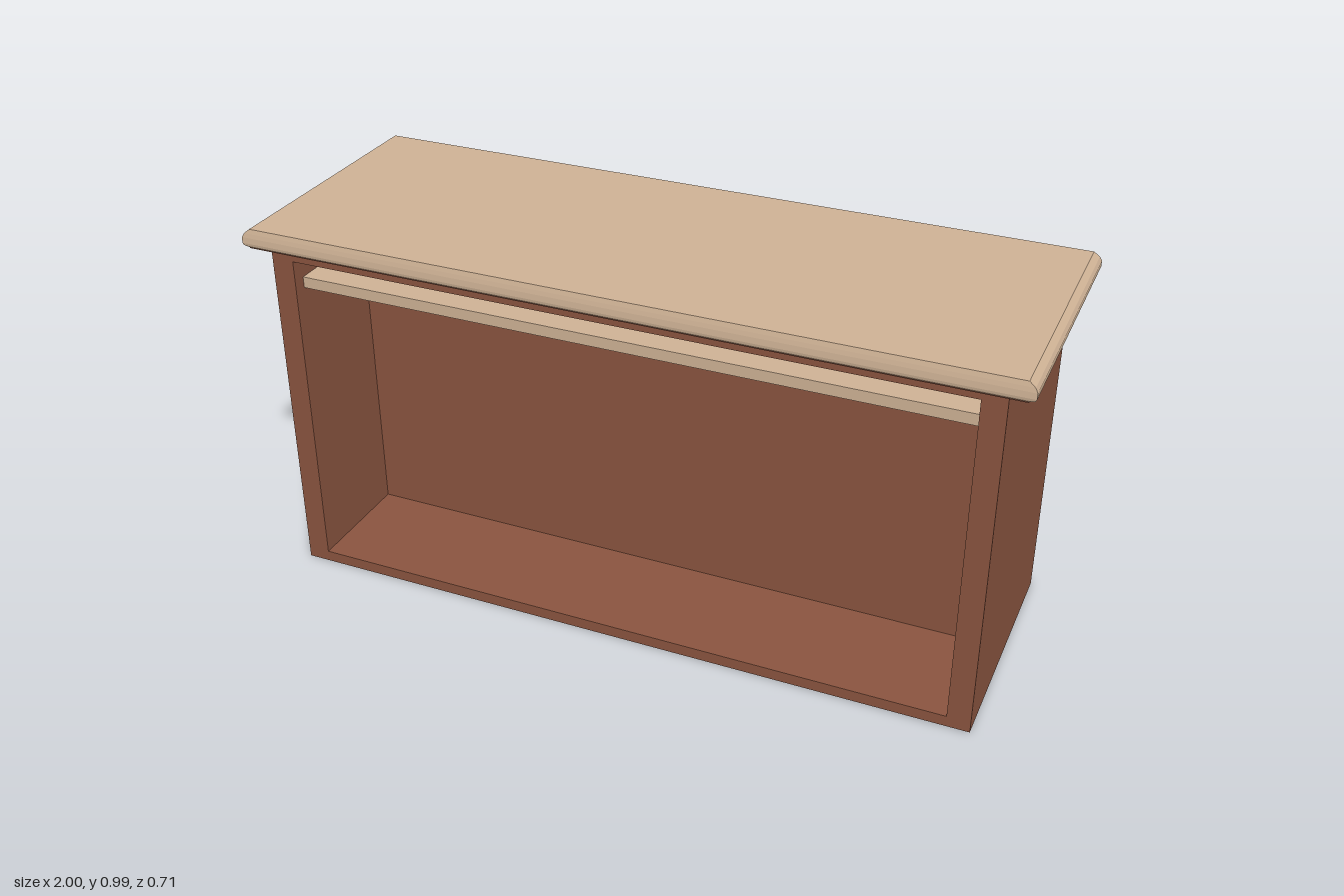
import * as THREE from 'three';

const wood = new THREE.MeshStandardMaterial({ color: 0x8b5540 });
const tan = new THREE.MeshStandardMaterial({ color: 0xd0b396, flatShading: true });

// Rectangular path or outline, wound counter-clockwise
function rect(target, x, y0, y1) {
  target.moveTo(-x, y0);
  target.lineTo(x, y0);
  target.lineTo(x, y1);
  target.lineTo(-x, y1);
  target.closePath();
  return target;
}

// Slab lofted through rectangular rings [y, halfWidth, halfDepth], capped at both ends
function slab(rings) {
  const pos = [], index = [];
  for (const [y, w, d] of rings) pos.push(-w, y, d, w, y, d, w, y, -d, -w, y, -d);
  for (let r = 0; r < rings.length - 1; r++) {
    for (let i = 0; i < 4; i++) {
      const a = r * 4 + i, b = r * 4 + (i + 1) % 4;
      index.push(a, b, b + 4, a, b + 4, a + 4);
    }
  }
  const t = (rings.length - 1) * 4;
  index.push(0, 2, 1, 0, 3, 2, t, t + 1, t + 2, t, t + 2, t + 3);
  const g = new THREE.BufferGeometry();
  g.setAttribute('position', new THREE.Float32BufferAttribute(pos, 3));
  g.setIndex(index);
  const flat = g.toNonIndexed();
  flat.computeVertexNormals();
  return flat;
}

export function createModel() {
  const group = new THREE.Group();
  const add = (name, geometry, material, x = 0, y = 0, z = 0) => {
    const mesh = new THREE.Mesh(geometry, material);
    mesh.name = name;
    mesh.position.set(x, y, z);
    group.add(mesh);
  };
  const box = (w, h, d) => new THREE.BoxGeometry(w, h, d);

  const front = 0.325, back = -0.335, recess = 0.01, height = 0.943;

  // Open front half: frame around the recess
  const frame = rect(new THREE.Shape(), 0.937, 0, height);
  frame.holes.push(rect(new THREE.Path(), 0.877, 0.03, 0.912));
  const frameGeometry = new THREE.ExtrudeGeometry(frame, { depth: front - recess, bevelEnabled: false });
  add('cabinetFrame', frameGeometry, wood, 0, 0, recess);

  // Closed rear half, whose front face is the back of the recess
  add('cabinetBack', box(1.874, height, recess - back), wood, 0, height / 2, (recess + back) / 2);

  // Shelf high in the recess, set slightly behind the frame
  add('shelf', box(1.754, 0.03, 0.28), tan, 0, 0.84, 0.15);

  // Countertop with rounded edges, and its dark underside
  add('countertop', slab([
    [0.944, 0.984, 0.35], [0.949, 0.997, 0.354], [0.955, 1, 0.355],
    [0.97, 1, 0.354], [0.981, 0.994, 0.352], [0.993, 0.979, 0.349],
  ]), tan);
  add('countertopUnderside', box(1.966, 0.004, 0.698), wood, 0, 0.943, 0);

  return group;
}
